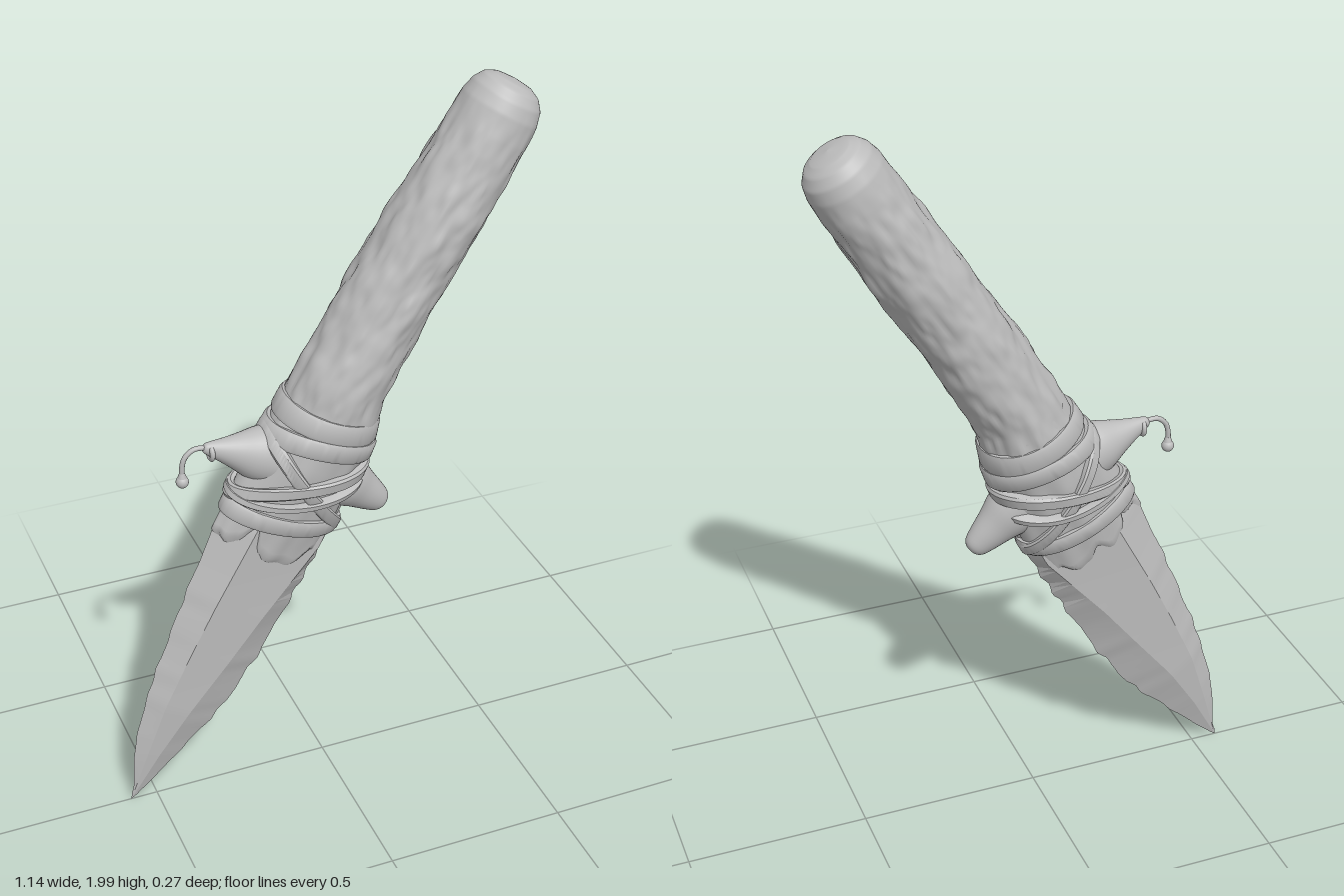
import * as THREE from 'three';
import { toCreasedNormals } from 'three/addons/utils/BufferGeometryUtils.js';

const stone = new THREE.MeshStandardMaterial({ color: 0xbcbcbc });
stone.name = 'grey stone';

// Linear lookup in rows of [key, a, b, ...] sorted by key
function sample(table, k) {
  let i = 0;
  while (i < table.length - 2 && k > table[i + 1][0]) i++;
  const [p, q] = [table[i], table[i + 1]];
  const t = THREE.MathUtils.clamp((k - p[0]) / (q[0] - p[0]), 0, 1);
  return p.slice(1).map((a, n) => a + (q[n + 1] - a) * t);
}

// Surface through rings of points; each ring is closed, rows may close too
function loft(rows, cols, point, closeRows = false) {
  const pos = [], index = [];
  for (let i = 0; i < rows; i++) for (let j = 0; j < cols; j++) pos.push(...point(i, j));
  for (let i = 0; i < (closeRows ? rows : rows - 1); i++) {
    for (let j = 0; j < cols; j++) {
      const k = (j + 1) % cols, n = (i + 1) % rows;
      const a = i * cols + j, b = i * cols + k, c = n * cols + j, d = n * cols + k;
      index.push(a, c, b, b, c, d);
    }
  }
  const g = new THREE.BufferGeometry();
  g.setAttribute('position', new THREE.Float32BufferAttribute(pos, 3));
  g.setIndex(index);
  g.computeVertexNormals();
  return g;
}

function add(parent, name, geometry) {
  const m = new THREE.Mesh(geometry, stone);
  m.name = name;
  parent.add(m);
  return m;
}

// Smooth value noise, periodic in x
const hash = (x, y) => { const s = Math.sin(x * 127.1 + y * 311.7) * 43758.5453; return s - Math.floor(s); };
function noise(x, y, period) {
  const xi = Math.floor(x), yi = Math.floor(y);
  const s = (t) => t * t * (3 - 2 * t), fx = s(x - xi), fy = s(y - yi);
  const h = (a, b) => hash(((a % period) + period) % period, b);
  const lo = h(xi, yi) * (1 - fx) + h(xi + 1, yi) * fx;
  const hi = h(xi, yi + 1) * (1 - fx) + h(xi + 1, yi + 1) * fx;
  return lo * (1 - fy) + hi * fy - 0.5;
}

// Height: centre x, half width x, half width z
const HANDLE = [
  [-0.06, 0, 0.135, 0.115], [0.0, -0.008, 0.134, 0.123], [0.1, -0.022, 0.12, 0.123], [0.28, -0.022, 0.116, 0.122],
  [0.61, -0.009, 0.112, 0.117], [0.84, 0, 0.106, 0.109], [0.9, 0, 0.103, 0.104], [0.935, 0, 0.094, 0.094],
  [0.96, -0.002, 0.076, 0.076], [0.973, -0.003, 0.05, 0.05], [0.979, -0.003, 0, 0],
];
const CORE = [
  [-0.46, 0.013, 0.158, 0.056], [-0.38, 0.012, 0.16, 0.066], [-0.26, 0.008, 0.158, 0.086],
  [-0.14, 0, 0.15, 0.107], [-0.02, -0.004, 0.138, 0.118], [0.06, -0.018, 0.122, 0.119],
];

// Height: left edge, flat x, ridge x, right edge, flat depth, ridge depth
const BLADE = [
  [-1.267, 0.045, 0.045, 0.045, 0.045, 0, 0],
  [-1.1, -0.032, 0.008, 0.042, 0.104, 0.019, 0.021],
  [-0.94, -0.073, -0.025, 0.05, 0.152, 0.034, 0.037],
  [-0.76, -0.104, -0.042, 0.077, 0.177, 0.043, 0.043],
  [-0.6, -0.124, -0.052, 0.1, 0.182, 0.05, 0.046],
  [-0.35, -0.152, -0.06, 0.15, 0.18, 0.06, 0.042],
  [-0.2, -0.15, -0.06, 0.14, 0.17, 0.062, 0.042],
];

function bladeGeometry() {
  const rows = 64;
  const g = loft(rows, 6, (i, j) => {
    const y = -1.267 + 1.067 * i / (rows - 1);
    const [l, f, r, e, fz, rz] = sample(BLADE, y);
    const chip = i && i < rows - 1 ? 0.012 : 0;
    const ring = [
      [e + noise(3, i * 0.45, 99) * chip, 0], [r, rz], [f, fz],
      [l + noise(9, i * 0.4, 99) * chip, 0], [f, -fz], [r, -rz],
    ];
    return [ring[j][0], y, ring[j][1]];
  });
  return toCreasedNormals(g, 0.2);
}

// Bark with long shallow grooves
function handleGeometry() {
  const rows = 150, cols = 96;
  return loft(rows, cols, (i, j) => {
    const t = i / (rows - 1), y = -0.06 + 1.039 * (1 - Math.pow(1 - t, 1.4));
    const a = j / cols * Math.PI * 2;
    const [cx, rx, rz] = sample(HANDLE, y);
    const fade = THREE.MathUtils.clamp((0.93 - y) / 0.15, 0, 1);
    const n = noise(j / cols * 24, y * 11, 24) * 0.012 + noise(j / cols * 48, y * 24, 48) * 0.006;
    const k = 1 + n * fade / 0.115;
    return [cx + rx * k * Math.cos(a), y, rz * k * Math.sin(a)];
  });
}

// Gathered cloth with a ragged lower hem lying on the blade
function coreGeometry() {
  const rows = 30, cols = 96;
  return loft(rows, cols, (i, j) => {
    const t = i / (rows - 1), a = j / cols * Math.PI * 2;
    const hem = -0.385 + noise(j / cols * 24, 5, 24) * 0.1;
    const y = hem + (0.06 - hem) * t;
    const [cx, rx, rz] = sample(CORE, y);
    const k = 1 + noise(j / cols * 24, y * 5, 24) * 0.1 - (i === 0 ? 0.12 : 0);
    return [cx + rx * k * Math.cos(a), y, rz * k * Math.sin(a)];
  });
}

// Flat strap around the core, tilted from side to side
function strapGeometry(mid, tilt, width, thick, wave) {
  const h = width / 2;
  const profile = [[-0.012, h], [thick * 0.7, h], [thick, h * 0.7], [thick, -h * 0.7], [thick * 0.7, -h], [-0.012, -h]];
  const g = loft(96, 6, (i, j) => {
    const a = i / 96 * Math.PI * 2;
    const y = mid + tilt * Math.cos(a) + wave * Math.sin(a * 2 + 1) + profile[j][1];
    const [cx, rx, rz] = sample(CORE, y), o = profile[j][0];
    return [cx + (rx + o) * Math.cos(a), y, (rz + o) * Math.sin(a)];
  }, true);
  return toCreasedNormals(g, 0.7);
}

export function createModel() {
  const root = new THREE.Group();
  root.name = 'dagger';
  const body = new THREE.Group();
  body.name = 'tiltedBody';
  body.position.set(0.02, 1.12, 0);
  body.rotation.z = -Math.PI / 6;
  root.add(body);

  add(body, 'blade', bladeGeometry());
  add(body, 'handle', handleGeometry());
  add(body, 'clothWrap', coreGeometry());

  // Straps: [name, height, tilt, width, thickness, wave]
  [
    ['upperBand', 0.005, 0.022, 0.06, 0.013, 0.004],
    ['collarBand', -0.055, 0.03, 0.055, 0.016, -0.004],
    ['lowerBand', -0.3, 0.022, 0.05, 0.014, 0.005],
    ['crossStrapA', -0.19, -0.095, 0.042, 0.017, 0.006],
    ['crossStrapB', -0.175, 0.1, 0.042, 0.021, -0.006],
    ['thinStrap', -0.215, 0.075, 0.022, 0.024, 0.014],
  ].forEach(([name, ...spec]) => add(body, name, strapGeometry(...spec)));

  // Guard horns: blunt on the left, pointed on the right
  const horn = (name, side, profile) => {
    const pts = new THREE.SplineCurve(profile.map(([r, y]) => new THREE.Vector2(r, y))).getPoints(24);
    pts.forEach((p) => { p.x = Math.max(p.x, 0); });
    const m = add(body, name, new THREE.LatheGeometry(pts, 32));
    m.position.set(side * 0.09, -0.15, 0);
    m.rotation.z = -side * (Math.PI / 2 + 0.2);
    m.scale.z = 0.85;
  };
  horn('leftHorn', 1, [[0.085, 0], [0.075, 0.06], [0.058, 0.11], [0.044, 0.16], [0.033, 0.19], [0.018, 0.203], [0, 0.206]]);
  horn('rightHorn', -1, [[0.085, 0], [0.073, 0.06], [0.05, 0.11], [0.033, 0.15], [0.02, 0.185], [0.012, 0.202], [0, 0.206]]);

  // Hanging cord with a bead, tied to the pointed horn
  const cord = new THREE.CatmullRomCurve3([
    [-0.29, 1.085], [-0.325, 1.1], [-0.355, 1.1], [-0.378, 1.08], [-0.386, 1.05], [-0.386, 1.02],
  ].map(([x, y]) => new THREE.Vector3(x, y, 0)));
  add(root, 'cord', new THREE.TubeGeometry(cord, 32, 0.007, 10));
  const tie = add(root, 'cordTie', new THREE.TorusGeometry(0.019, 0.007, 10, 24));
  tie.position.set(-0.308, 1.084, 0);
  tie.rotation.y = Math.PI / 2;
  add(root, 'bead', new THREE.SphereGeometry(0.017, 20, 14)).position.set(-0.386, 1.012, 0);
  add(root, 'beadCap', new THREE.CylinderGeometry(0.007, 0.012, 0.014, 16)).position.set(-0.386, 1.032, 0);
  return root;
}
